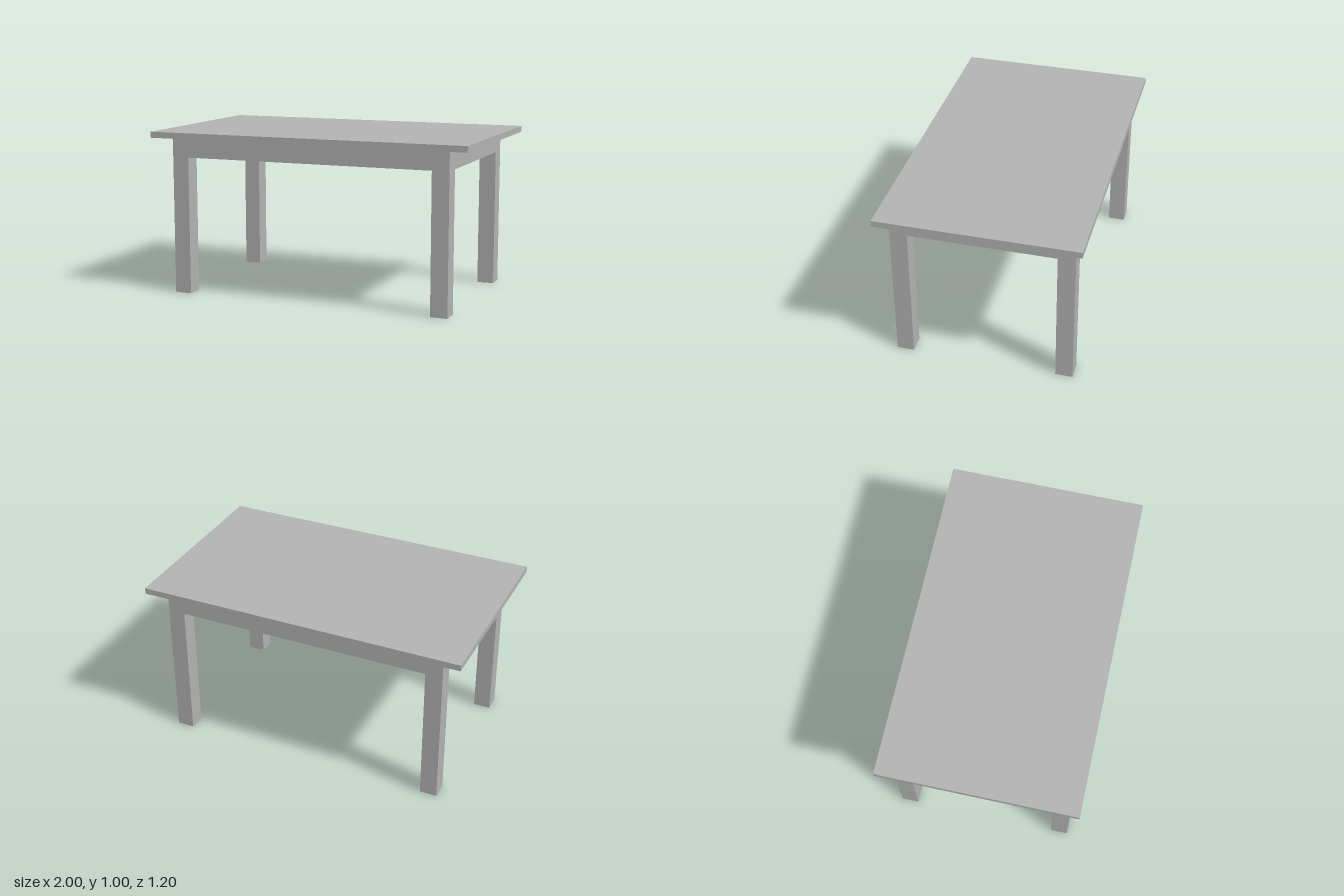
import * as THREE from 'three';

export function createModel() {
  const table = new THREE.Group();
  table.name = 'table';
  const grey = new THREE.MeshStandardMaterial({ color: 0xb2b2b2 });
  grey.name = 'grey';

  const addBox = (name, size, position) => {
    const mesh = new THREE.Mesh(new THREE.BoxGeometry(...size), grey);
    mesh.name = name;
    mesh.position.set(...position);
    table.add(mesh);
  };

  const underside = 0.963; // height of the underside of the top
  const legX = 0.88, legZ = 0.54; // outer faces of the legs
  const leg = 0.104, apronHeight = 0.118, apronThickness = 0.025;
  const apronY = underside - apronHeight / 2;

  addBox('tableTop', [2, 1 - underside, 1.196], [0, (1 + underside) / 2, 0]);

  // Square legs at the corners
  for (const [x, side] of [[1, 'Left'], [-1, 'Right']]) {
    for (const [z, end] of [[1, 'front'], [-1, 'back']]) {
      addBox(`${end}${side}Leg`, [leg, underside, leg],
        [x * (legX - leg / 2), underside / 2, z * (legZ - leg / 2)]);
    }
  }

  // Thin aprons between the legs, flush with their outer faces
  for (const [s, longName, shortName] of [[1, 'frontApron', 'leftApron'], [-1, 'backApron', 'rightApron']]) {
    addBox(longName, [2 * (legX - leg), apronHeight, apronThickness],
      [0, apronY, s * (legZ - apronThickness / 2)]);
    addBox(shortName, [apronThickness, apronHeight, 2 * (legZ - leg)],
      [s * (legX - apronThickness / 2), apronY, 0]);
  }

  return table;
}
